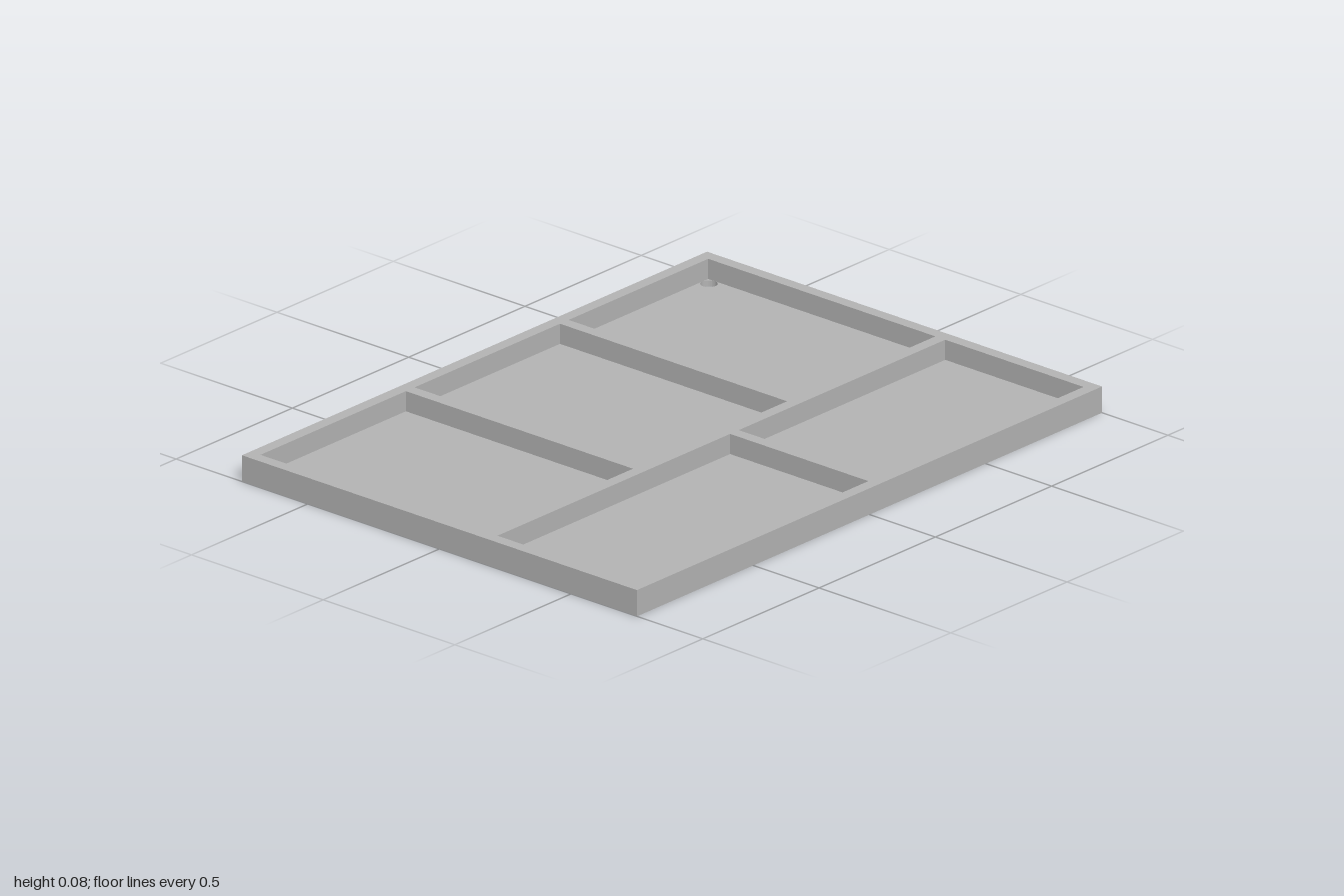
import * as THREE from 'three';

const HEIGHT = 0.081, FLOOR = 0.019;

// Rectangle in plan: shape x is world x, shape y is world z
function rect(PathType, x0, z0, x1, z1) {
  const p = new PathType();
  p.moveTo(x0, z0);
  p.lineTo(x1, z0);
  p.lineTo(x1, z1);
  p.lineTo(x0, z1);
  p.closePath();
  return p;
}

// Horizontal slab cut by holes, spanning y0 to y1
function slab(name, holes, y0, y1, material) {
  const shape = rect(THREE.Shape, -1, -0.75, 1, 0.75);
  shape.holes.push(...holes);
  const geometry = new THREE.ExtrudeGeometry(shape, { depth: y1 - y0, bevelEnabled: false, curveSegments: 16 });
  geometry.rotateX(Math.PI / 2);
  geometry.translate(0, y1, 0);
  const mesh = new THREE.Mesh(geometry, material);
  mesh.name = name;
  return mesh;
}

export function createModel() {
  const group = new THREE.Group();
  group.name = 'dividedTray';
  const grey = new THREE.MeshStandardMaterial({ color: 0xb3b3b3 });
  grey.name = 'plain grey';

  // Three deep compartments at the back, two shallow ones at the front
  const pockets = [
    [-0.9625, -0.7125, -0.3375, 0.15],
    [-0.3, -0.7125, 0.325, 0.15],
    [0.3625, -0.7125, 0.9625, 0.15],
    [-0.9625, 0.1875, 0.0375, 0.7125],
    [0.075, 0.1875, 0.9625, 0.7125],
  ].map((p) => rect(THREE.Path, ...p));

  // Screw holes through the floor, touching the walls in each corner
  const screwHoles = [];
  for (const sx of [-1, 1]) {
    for (const sz of [-1, 1]) {
      screwHoles.push(new THREE.Path().absarc(sx * 0.9375, sz * 0.6875, 0.025, 0, Math.PI * 2));
    }
  }

  group.add(slab('floor', screwHoles, 0, FLOOR, grey));
  group.add(slab('wallsAndDividers', pockets, FLOOR, HEIGHT, grey));
  return group;
}
